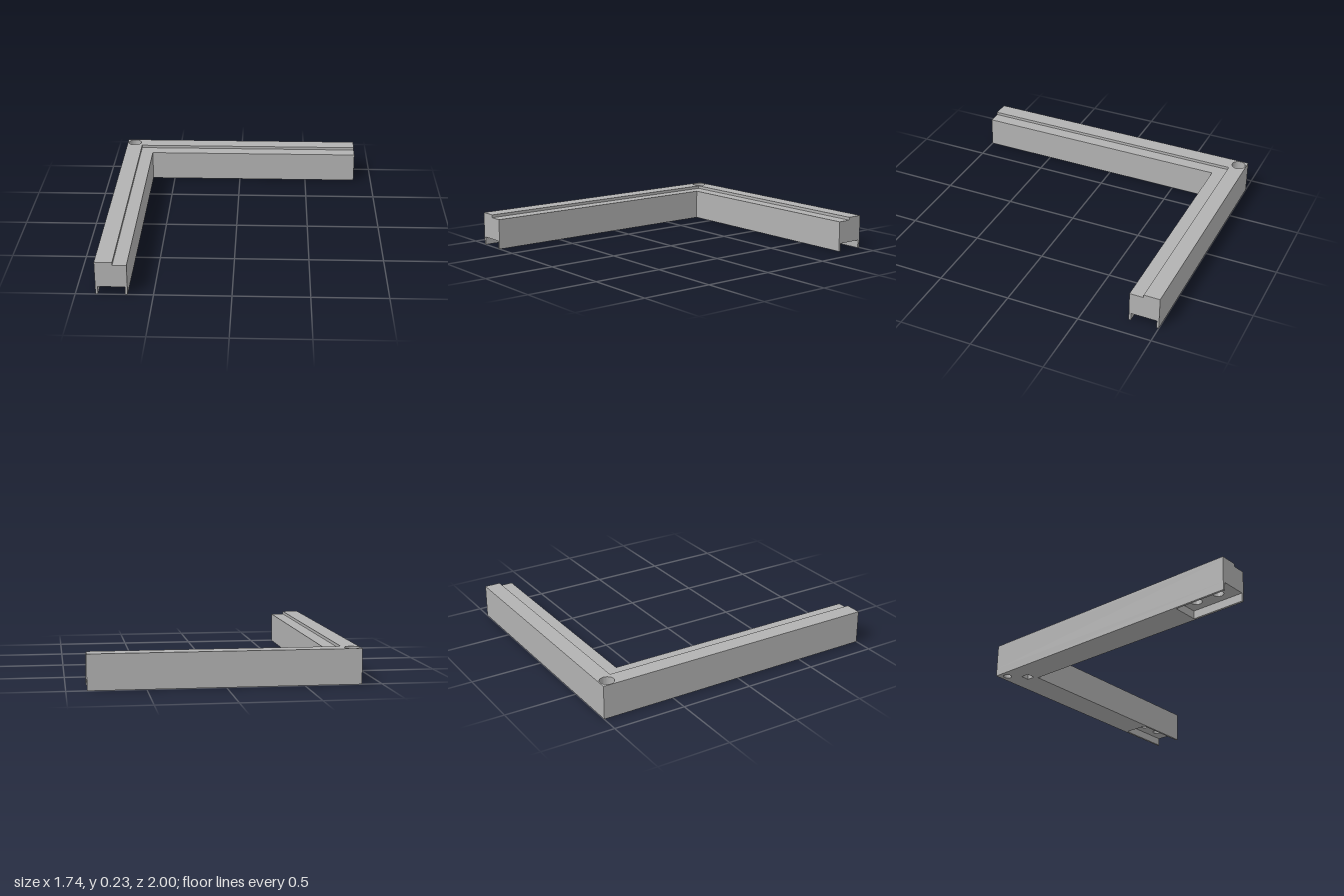
import * as THREE from 'three';
import { mergeGeometries, toCreasedNormals } from 'three/addons/utils/BufferGeometryUtils.js';

const TOP = 0.23, LEDGE = 0.21, POCKET = 0.055, BLIND = 0.13, BORE = 0.15;

// All outlines are [x, z] points, counter-clockwise seen from above.
const circle = (x, z, r, n = 40) => Array.from({ length: n }, (_, i) => {
  const a = (i / n) * Math.PI * 2;
  return [x + r * Math.cos(a), z - r * Math.sin(a)];
});
const rect = (x0, x1, z0, z1) => [[x0, z0], [x0, z1], [x1, z1], [x1, z0]];
const angleOutline = (x, z) => [[-0.87, -1], [-0.87, 1], [x, 1], [x, z], [0.87, z], [0.87, -1]];

// Flat horizontal surface with holes, facing up or down
function face(outline, y, up, holes = []) {
  const toV = ([x, z]) => new THREE.Vector2(x, -z);
  const shape = new THREE.Shape(outline.map(toV));
  shape.holes = holes.map((h) => new THREE.Path(h.map(toV)));
  const g = new THREE.ShapeGeometry(shape).rotateX(up ? -Math.PI / 2 : Math.PI / 2);
  if (!up) g.scale(1, 1, -1);
  if (!up) {
    const ix = g.index.array;
    // the mirror reverses the corners, so swap them back
    for (let i = 0; i < ix.length; i += 3) [ix[i], ix[i + 1]] = [ix[i + 1], ix[i]];
  }
  g.translate(0, y, 0);
  // set the winding explicitly from the wanted direction
  const p = g.attributes.position, ix = g.index.array;
  for (let i = 0; i < ix.length; i += 3) {
    const [a, b, c] = [0, 1, 2].map((k) => new THREE.Vector3().fromBufferAttribute(p, ix[i + k]));
    const ny = b.sub(a).cross(c.sub(a)).y;
    if ((ny > 0) !== up) [ix[i], ix[i + 1]] = [ix[i + 1], ix[i]];
  }
  return finish(g.toNonIndexed());
}

// Vertical wall along an outline; inward for holes
function wall(outline, y0, y1, inward = false) {
  const loop = inward ? [...outline].reverse() : outline;
  const pos = [];
  loop.forEach(([ax, az], i) => {
    const [bx, bz] = loop[(i + 1) % loop.length];
    pos.push(ax, y0, az, bx, y0, bz, bx, y1, bz, ax, y0, az, bx, y1, bz, ax, y1, az);
  });
  const g = new THREE.BufferGeometry();
  g.setAttribute('position', new THREE.Float32BufferAttribute(pos, 3));
  return finish(g);
}

function finish(g) {
  g.deleteAttribute('uv');
  g.deleteAttribute('normal');
  g.computeVertexNormals();
  return toCreasedNormals(g, 0.5);
}

export function createModel() {
  const model = new THREE.Group();
  const grey = new THREE.MeshStandardMaterial({ color: 0xb2b2b2 });
  grey.name = 'grey';
  const add = (name, ...parts) => {
    const mesh = new THREE.Mesh(mergeGeometries(parts), grey);
    mesh.name = name;
    model.add(mesh);
  };

  const full = angleOutline(-0.665, -0.795);
  const rim = angleOutline(-0.755, -0.89);
  const bore = circle(-0.815, -0.945, 0.028);
  const counterbore = circle(-0.815, -0.945, 0.048);
  const socket = rect(-0.75, -0.69, -0.87, -0.81);
  // Underside outline with an open pocket at each arm end
  const base = [
    [-0.87, -1], [-0.87, 1], [-0.855, 1], [-0.855, 0.62], [-0.68, 0.62], [-0.68, 1], [-0.665, 1],
    [-0.665, -0.795], [0.87, -0.795], [0.87, -0.81], [0.49, -0.81], [0.49, -0.985], [0.87, -0.985], [0.87, -1],
  ];

  // L-shaped frame body
  add('frameBody', face(base, 0, false, [bore, socket]), wall(base, 0, POCKET), wall(full, POCKET, LEDGE));

  // Lower inner ledge and raised outer rim
  const ledge = [[-0.755, -0.89], [-0.755, 1], [-0.665, 1], [-0.665, -0.795], [0.87, -0.795], [0.87, -0.89]];
  add('innerLedge', face(ledge, LEDGE, true));
  add('outerRim', wall(rim, LEDGE, TOP), face(rim, TOP, true, [counterbore]));

  // Stepped through-hole in the corner
  add('cornerHole', wall(bore, 0, BORE, true), face(counterbore, BORE, true, [bore]),
    wall(counterbore, BORE, TOP, true));

  // Square socket under the corner
  add('squareSocket', wall(socket, 0, BLIND, true), face(socket, BLIND, false));

  // End pocket ceilings, each with two blind holes
  const pockets = [
    ['leftArmPocket', rect(-0.855, -0.68, 0.62, 1), [[-0.768, 0.88], [-0.768, 0.71]]],
    ['backArmPocket', rect(0.49, 0.87, -0.985, -0.81), [[0.75, -0.898], [0.59, -0.898]]],
  ];
  for (const [name, outline, centres] of pockets) {
    const holes = centres.map(([x, z]) => circle(x, z, 0.037));
    add(name, face(outline, POCKET, false, holes));
    for (const h of holes) add(name + 'Hole', wall(h, POCKET, BLIND, true), face(h, BLIND, false));
  }
  return model;
}
